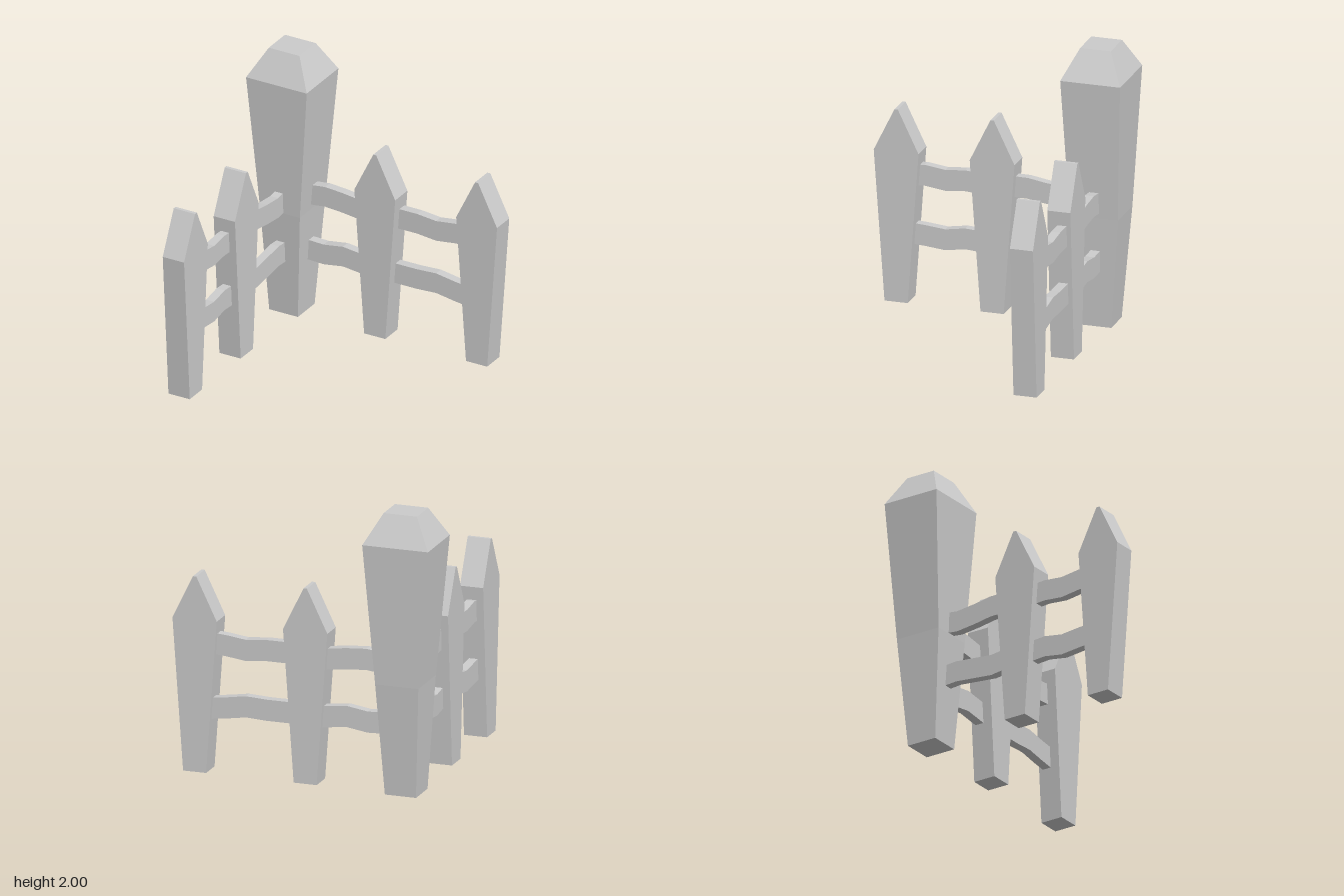
import * as THREE from 'three';

const material = new THREE.MeshStandardMaterial({ color: 0xcccccc, flatShading: true });

// Flat board: outline in (along the row, height), thickened from w0 to w1
function board(name, outline, w0, w1) {
  const shape = new THREE.Shape(outline.map(([u, y]) => new THREE.Vector2(u, y)));
  const geometry = new THREE.ExtrudeGeometry(shape, { depth: w1 - w0, bevelEnabled: false });
  geometry.translate(0, 0, w0);
  const mesh = new THREE.Mesh(geometry, material);
  mesh.name = name;
  return mesh;
}

// Pointed picket, narrow at the foot and widest at the shoulder
function picket(u, w0, w1) {
  const half = [[0.083, 0.005], [0.122, 0.55], [0.16, 1.085], [0.012, 1.39]];
  const right = half.map(([h, y]) => [u + h, y]);
  const left = half.map(([h, y]) => [u - h, y]).reverse();
  return board('picket', [...right, ...left], w0, w1);
}

// Wavy rail of constant height, given by points along its top edge
function rail(top, w0, w1) {
  const bottom = top.map(([u, y]) => [u, y - 0.15]).reverse();
  return board('rail', [...top, ...bottom], w0, w1);
}

// One fence wing: pickets plus the rails between them
function wing(name, centres, picketW, rails, railW) {
  const group = new THREE.Group();
  group.name = name;
  for (const u of centres) group.add(picket(u, ...picketW));
  for (const top of rails) group.add(rail(top, ...railW));
  return group;
}

// Corner post: a box whose rings follow the sections [y, x0, x1, z0, z1]
function cornerPost() {
  const sections = [
    [0.005, -0.825, -0.6, -0.8, -0.575],
    [0.8, -0.865, -0.553, -0.863, -0.52],
    [1.79, -0.95, -0.475, -0.905, -0.478],
    [2, -0.832, -0.592, -0.8, -0.582],
  ];
  const n = sections.length - 1;
  const geometry = new THREE.BoxGeometry(1, 1, 1, 1, n, 1);
  const p = geometry.attributes.position;
  for (let i = 0; i < p.count; i++) {
    const [y, x0, x1, z0, z1] = sections[Math.round((p.getY(i) + 0.5) * n)];
    p.setXYZ(i, p.getX(i) < 0 ? x0 : x1, y, p.getZ(i) < 0 ? z0 : z1);
  }
  geometry.computeVertexNormals();
  const mesh = new THREE.Mesh(geometry, material);
  mesh.name = 'cornerPost';
  return mesh;
}

export function createModel() {
  const model = new THREE.Group();
  model.name = 'cornerFence';
  model.add(cornerPost());

  // Back wing, running along x
  model.add(wing('backWing', [-0.01, 0.788], [-0.76, -0.595], [
    [[-0.57, 0.985], [-0.44, 1.0], [-0.3, 0.99], [-0.13, 0.968]],
    [[0.12, 0.985], [0.28, 0.985], [0.43, 0.97], [0.57, 0.988], [0.66, 0.995]],
    [[-0.6, 0.563], [-0.45, 0.557], [-0.3, 0.58], [-0.11, 0.558]],
    [[0.09, 0.562], [0.28, 0.562], [0.43, 0.57], [0.57, 0.547], [0.69, 0.532]],
  ], [-0.73, -0.665]));

  // Side wing, turned so its length runs along z
  const side = wing('sideWing', [0.745, 0.06], [0.63, 0.797], [
    [[0.61, 0.99], [0.56, 0.995], [0.41, 0.975], [0.27, 0.988], [0.18, 0.982]],
    [[-0.06, 0.987], [-0.18, 0.985], [-0.3, 0.965], [-0.45, 0.948], [-0.53, 0.957]],
    [[0.64, 0.567], [0.56, 0.562], [0.41, 0.547], [0.27, 0.57], [0.13, 0.56]],
    [[-0.04, 0.564], [-0.17, 0.547], [-0.3, 0.56], [-0.46, 0.576], [-0.56, 0.568]],
  ], [0.682, 0.745]);
  side.rotation.y = -Math.PI / 2;
  model.add(side);
  return model;
}
